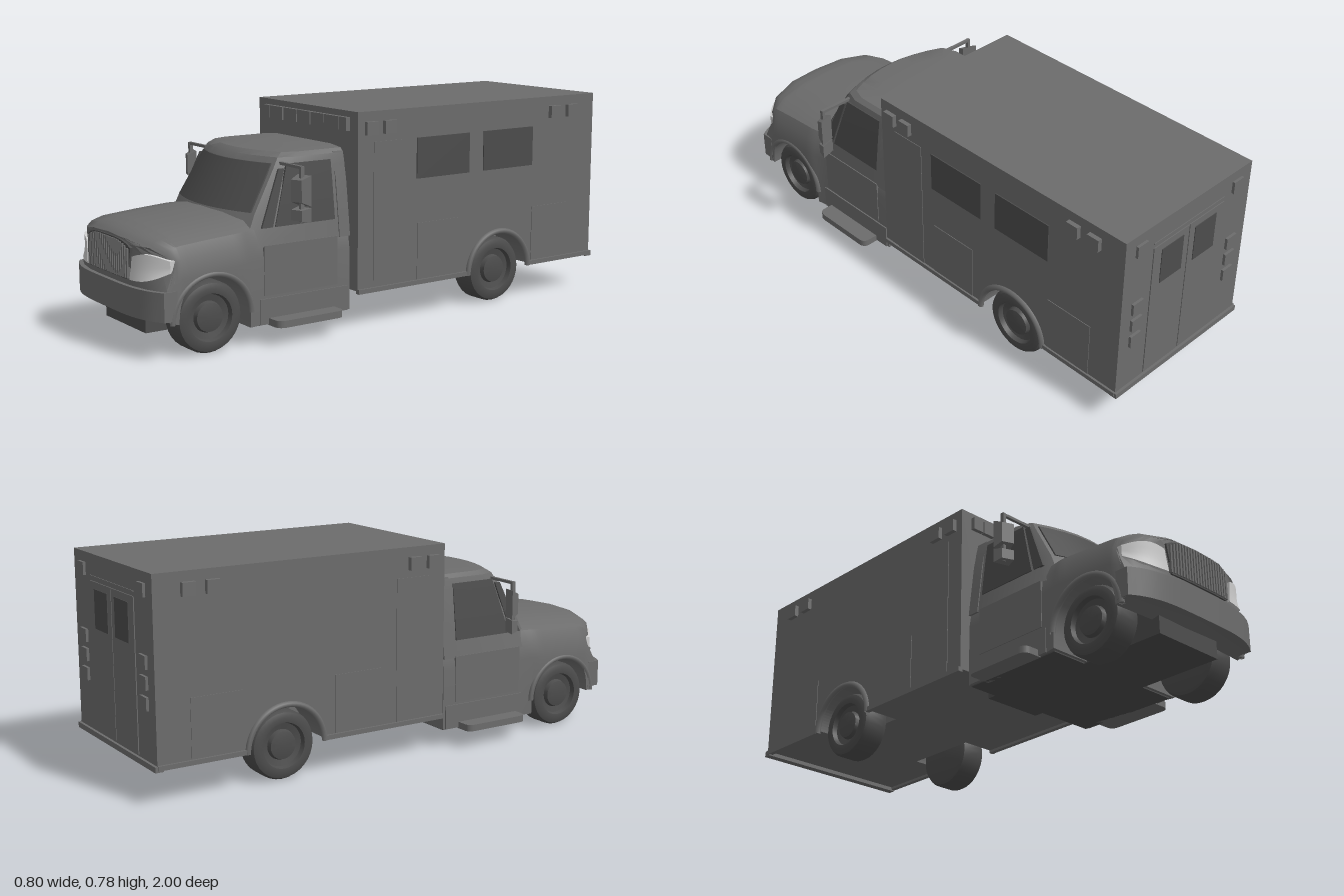
import * as THREE from 'three';
import { toCreasedNormals } from 'three/addons/utils/BufferGeometryUtils.js';

const mat = (color) => new THREE.MeshStandardMaterial({ color, side: THREE.DoubleSide });
const paint = mat(0x6c6c6c), dark = mat(0x4c4c4c), lens = mat(0xcccccc);
const { lerp, clamp } = THREE.MathUtils;
const V = (x, y, z) => new THREE.Vector3(x, y, z);

// piecewise-linear lookup in [[key, value], ...]
function curve(table, k) {
  for (let i = 1; i < table.length; i++) {
    const [a, va] = table[i - 1], [b, vb] = table[i];
    if (k <= b) return lerp(va, vb, clamp((k - a) / (b - a), 0, 1));
  }
  return table[table.length - 1][1];
}

// skin over rings of equal length
function loft(rings, crease = 0.6) {
  const n = rings[0].length, index = [];
  for (let i = 0; i < rings.length - 1; i++) {
    for (let j = 0; j < n; j++) {
      const k = (j + 1) % n, a = i * n + j, b = i * n + k;
      index.push(a, b, b + n, a, b + n, a + n);
    }
  }
  const g = new THREE.BufferGeometry().setFromPoints(rings.flat());
  g.setIndex(index);
  return toCreasedNormals(g, crease);
}

// subdivided slab shaped by f(u, v, w); u, v in -1..1, w in -0.5..0.5
function slab(n, m, f) {
  const g = new THREE.BoxGeometry(2, 2, 1, n, m, 1), p = g.attributes.position;
  for (let i = 0; i < p.count; i++) p.setXYZ(i, ...f(p.getX(i), p.getY(i), p.getZ(i)));
  return toCreasedNormals(g, 0.6);
}

// nose surface, curving back toward the sides
function bend(x, y, z) {
  const depth = lerp(0.05, 0.1, clamp((y - 0.24) / 0.06, 0, 1));
  return z - depth * Math.min(Math.abs(x) / 0.31, 1.02) ** 4 * clamp((z - 0.87) / 0.115, 0, 1);
}
const nose = (x, y) => bend(x, y, 0.985);

const hoodTop = [[0.62, 0.45], [0.75, 0.442], [0.9, 0.43], [0.96, 0.417], [0.985, 0.4]];
const bodyWidth = [[0.56, 0.297], [0.64, 0.312], [0.93, 0.312], [0.985, 0.308]];
const cabWidth = [[0.34, 0.297], [0.45, 0.284], [0.6, 0.266], [0.635, 0.258], [0.65, 0.243], [0.657, 0.18]];
const cabFront = [[0.34, 0.67], [0.45, 0.62], [0.6, 0.53], [0.635, 0.508], [0.65, 0.485], [0.657, 0.42]];
const FRONT_Z = 0.76, REAR_Z = -0.5, AXLE = 0.125;

// hood, fenders and lower cab, with the wheel arch in the bottom edge
function bodyGeometry() {
  const stations = [[0.19, 0.07], [0.4, 0.07], [0.56, 0.07], [0.612, 0.07]];
  for (let i = 0; i <= 14; i++) {
    const a = Math.PI * (1 - i / 14);
    stations.push([FRONT_Z + 0.148 * Math.cos(a), AXLE + 0.148 * Math.sin(a)]);
  }
  stations.push([0.93, 0.128], [0.96, 0.134], [0.975, 0.138], [0.985, 0.14]);
  const section = ([z, yb], k = 1) => {
    const w = curve(bodyWidth, z), h = curve(hoodTop, z);
    const half = [[1, yb], [1, h - 0.155], [0.965, h - 0.09], [0.91, h - 0.05], [0.75, h - 0.022], [0.4, h - 0.005]];
    const at = (f, y) => V(f * w * k, y, bend(f * w * k, y, z));
    return [at(0, yb), ...half.map(([f, y]) => at(f, y)), at(0, h),
      ...half.slice().reverse().map(([f, y]) => at(-f, y))];
  };
  const rings = stations.map((s) => section(s));
  const back = rings[0].map(() => V(0, 0.25, 0.19));
  const front = stations[stations.length - 1];
  return loft([back, ...rings, ...[0.9, 0.75, 0.5, 0.25, 0].map((k) => section(front, k))]);
}

// upper cab with roof
function cabGeometry() {
  const rings = cabFront.map(([y, f]) => {
    const w = curve(cabWidth, y), ring = [V(w, y, f - 0.11), V(w, y, 0.19), V(-w, y, 0.19), V(-w, y, f - 0.11)];
    for (let i = -4; i <= 4; i++) ring.push(V(i / 4 * w * 0.92, y, f - 0.055 * (i / 4) ** 2));
    return ring;
  });
  return loft([...rings, rings[0].map(() => V(0, 0.66, 0.33))], 0.45);
}

// raised pane on the cab side between front and rear edges (z at bottom, z at top)
const sidePane = (y0, y1, front, rear) => slab(1, 3, (u, v, w) => {
  const t = (v + 1) / 2, y = lerp(y0, y1, t);
  const z = lerp(lerp(front[0], front[1], t), lerp(rear[0], rear[1], t), (u + 1) / 2);
  return [curve(cabWidth, y) + w * 0.008, y, z];
});

// box side wall profile with the wheel cut-out, extruded across x
function wallGeometry(width, arch) {
  const s = new THREE.Shape();
  s.moveTo(-0.17, 0.135);
  if (arch) {
    s.lineTo(-REAR_Z - 0.15, 0.135);
    s.absarc(-REAR_Z, AXLE, 0.15, Math.PI - 0.067, 0.067, true);
  }
  s.lineTo(0.99, 0.135).lineTo(0.99, 0.78).lineTo(-0.17, 0.78);
  return new THREE.ExtrudeGeometry(s, { depth: width, bevelEnabled: false, curveSegments: 20 }).rotateY(Math.PI / 2);
}

function wheelGeometry() {
  const profile = [[0, -0.055], [0.1, -0.055], [0.118, -0.048], [0.125, -0.035], [0.125, 0.035], [0.118, 0.048],
    [0.1, 0.055], [0.083, 0.053], [0.078, 0.035], [0.055, 0.03], [0.05, 0.046], [0.03, 0.05], [0, 0.05]];
  const g = new THREE.LatheGeometry(profile.map(([r, y]) => new THREE.Vector2(r, y)), 32);
  return toCreasedNormals(g, 0.6).rotateZ(-Math.PI / 2);
}

export function createModel() {
  const model = new THREE.Group();
  const add = (name, geometry, material = paint, parent = model) => {
    const m = new THREE.Mesh(geometry, material);
    m.name = name;
    parent.add(m);
    return m;
  };
  // box given by its limits
  const block = (name, [x0, x1], [y0, y1], [z0, z1], material = paint, parent = model) => add(name,
    new THREE.BoxGeometry(x1 - x0, y1 - y0, z1 - z0).translate((x0 + x1) / 2, (y0 + y1) / 2, (z0 + z1) / 2), material, parent);

  add('hoodAndLowerCab', bodyGeometry());
  add('upperCab', cabGeometry());
  add('windshield', slab(10, 5, (u, v, w) => {
    const y = lerp(0.455, 0.615, (v + 1) / 2), x = u * curve(cabWidth, y) * 0.87;
    return [x, y, curve(cabFront, y) - 0.055 * (x / curve(cabWidth, y) / 0.92) ** 2 + w * 0.01];
  }), dark);
  add('bumper', slab(18, 1, (u, v, w) => {
    const x = u * 0.314, y = 0.19 + v * 0.05;
    return [x, y, nose(x, y) - 0.01 + w * 0.05];
  }));

  // grille
  add('grillePanel', slab(12, 1, (u, v, w) => {
    const x = u * (0.148 + 0.009 * v);
    const y = v < 0 ? 0.26 : 0.392 - 0.024 * u ** 4;
    return [x, y, nose(x, y) + w * 0.012];
  }), dark);
  for (let i = -10; i <= 10; i++) {
    const x = i * 0.0142, top = 0.388 - 0.022 * (i / 10) ** 4;
    block('grilleBar', [x - 0.004, x + 0.004], [0.264, top], [nose(x, 0.35), nose(x, 0.35) + 0.012]);
  }

  // underside
  block('frontSkid', [-0.147, 0.147], [0.066, 0.2], [0.4, 0.93], dark);
  block('cabFloor', [-0.29, 0.29], [0.066, 0.1], [0.195, 0.6], dark);
  block('chassis', [-0.12, 0.12], [0.1, 0.2], [0.1, 0.3], dark);

  // rear box body
  add('boxCore', wallGeometry(0.36, false)).position.x = -0.18;
  block('rearStep', [-0.325, 0.325], [0.12, 0.14], [-1, -0.97]);
  [-0.25, -0.18, -0.088, 0.002, 0.092, 0.179, 0.249].forEach((x, i) => {
    const half = i % 6 ? 0.042 : 0.023;
    block('frontLamp', [x - half, x + half], [0.71, 0.758], [0.168, 0.186]);
  });
  block('rearDoorHeader', [-0.18, 0.18], [0.7, 0.704], [-0.993, -0.99]);

  // parts that are the same on both sides
  const side = new THREE.Group();
  side.name = 'leftSide';
  const part = (name, g, m) => add(name, g, m, side);
  const piece = (name, x, y, z, m) => block(name, x, y, z, m, side);

  part('boxWall', wallGeometry(0.14, true)).position.x = 0.18;
  for (const [name, z] of [['frontWheel', FRONT_Z], ['rearWheel', REAR_Z]]) {
    const front = z > 0;
    part(name, wheelGeometry(), dark).position.set(front ? 0.24 : 0.25, AXLE, z);
    const flare = part(name + 'Arch', new THREE.TorusGeometry(0.153, 0.011, 6, 28, Math.PI).rotateY(Math.PI / 2));
    flare.position.set(front ? 0.306 : 0.322, AXLE, z);
  }
  piece('boxSill', [0.31, 0.328], [0.125, 0.142], [REAR_Z + 0.15, 0.17]);
  piece('boxSill', [0.31, 0.328], [0.125, 0.142], [-0.99, REAR_Z - 0.15]);

  part('headlight', slab(10, 4, (u, v, w) => {
    const t = (u + 1) / 2, x = lerp(0.163, 0.296, t) + 0.006 * v * (1 - t);
    const y = lerp(0.262 + 0.035 * t ** 3, 0.342 + 0.016 * Math.sin(t * Math.PI) - 0.004 * t, (v + 1) / 2);
    return [x, y, nose(x, y) + 0.001 + w * 0.018];
  }), lens);
  part('doorWindow', sidePane(0.405, 0.615, [0.5, 0.435], [0.25, 0.25]), dark);
  part('quarterWindow', sidePane(0.405, 0.6, [0.555, 0.47], [0.51, 0.447]), dark);
  piece('cabDoor', [0.29, 0.3], [0.17, 0.345], [0.245, 0.55]);
  piece('cabSkirt', [0.28, 0.302], [0.07, 0.16], [0.2, 0.57]);
  part('cabCorner', sidePane(0.34, 0.64, [0.235, 0.235], [0.19, 0.19]));

  // running board with rounded outer corners
  const board = new THREE.Shape();
  board.moveTo(0.27, 0.26).lineTo(0.34, 0.26).quadraticCurveTo(0.366, 0.26, 0.366, 0.29);
  board.lineTo(0.366, 0.5).quadraticCurveTo(0.366, 0.535, 0.335, 0.535).lineTo(0.27, 0.535);
  part('runningBoard', new THREE.ExtrudeGeometry(board, { depth: 0.025, bevelEnabled: false })
    .rotateX(Math.PI / 2).translate(0, 0.091, 0));

  // mirror: arm, stem and two housings
  piece('mirrorArm', [0.245, 0.382], [0.611, 0.621], [0.44, 0.452]);
  piece('mirrorStem', [0.37, 0.382], [0.43, 0.62], [0.44, 0.454]);
  for (const [y, h] of [[0.537, 0.053], [0.453, 0.026]]) {
    part('mirrorHousing', slab(1, 1, (u, v, w) => {
      const k = w > 0 ? 0.72 : 1;
      return [0.373 + u * 0.029 * k, y + v * h * k, 0.45 + w * 0.034 - u * 0.008];
    }));
  }

  // box side lamps, door and lockers
  for (const z of [0.115, 0.035, -0.775, -0.865]) piece('sideLamp', [0.318, 0.337], [0.697, 0.744], [z - 0.025, z + 0.025]);
  piece('sideDoor', [0.318, 0.3225], [0.143, 0.67], [-0.04, 0.1]);
  piece('frontLocker', [0.318, 0.3225], [0.143, 0.355], [-0.3, -0.1]);
  piece('rearLocker', [0.318, 0.3225], [0.143, 0.355], [-0.865, -0.67]);

  // rear door leaf and lamps
  piece('rearDoor', [0.002, 0.18], [0.145, 0.685], [-0.9935, -0.988]);
  piece('rearDoorWindow', [0.03, 0.14], [0.52, 0.66], [-0.996, -0.988], dark);
  for (const y of [0.72, 0.48, 0.41, 0.34]) piece('rearLamp', [0.22, 0.27], [y - 0.023, y + 0.023], [-1, -0.985]);

  const otherSide = side.clone();
  otherSide.name = 'rightSide';
  otherSide.scale.x = -1;
  model.add(side, otherSide);

  // windows on the left wall only
  for (const z of [-0.665, -0.345]) block('boxWindow', [0.318, 0.324], [0.52, 0.67], [z, z + 0.25], dark);
  return model;
}
